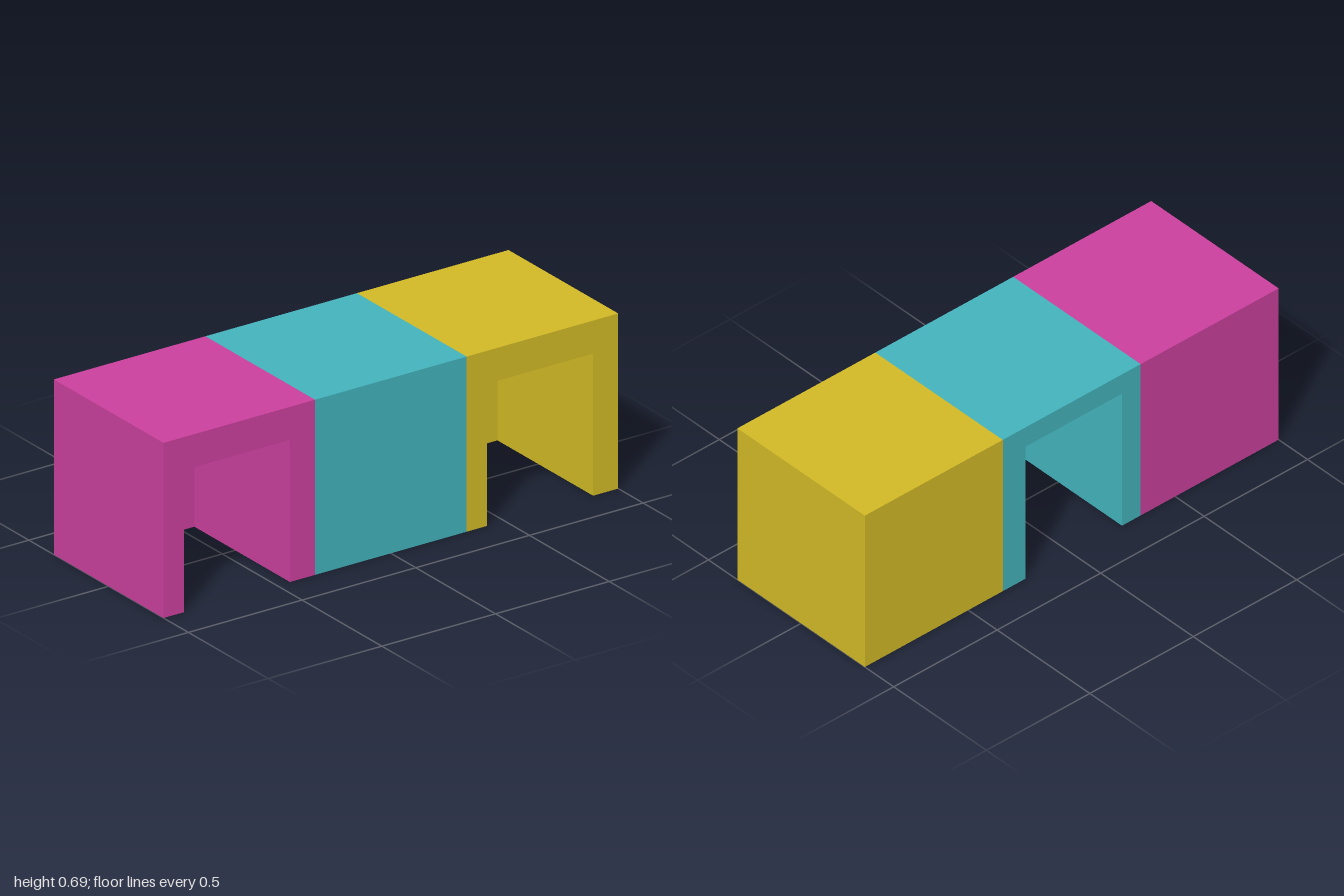
import * as THREE from 'three';

const HALF_W = 0.344, HEIGHT = 0.69, LENGTH = 2 / 3;
const Z_BACK = -0.223, Z_FRONT = 0.243; // cavity ends, relative to the section centre

// One hollow section: an arch open below and on one side, closed by a panel on the other.
// side = +1 opens towards +x, -1 towards -x.
function section(name, color, z, side, ceiling, panel) {
  const group = new THREE.Group();
  group.name = name;
  const material = new THREE.MeshStandardMaterial({ color });
  const depth = 2 * HALF_W - panel;
  const h = LENGTH / 2;

  // Arch outline; shape x becomes -z after the turn
  const outline = new THREE.Shape([
    [-h, 0], [-Z_FRONT, 0], [-Z_FRONT, ceiling], [-Z_BACK, ceiling],
    [-Z_BACK, 0], [h, 0], [h, HEIGHT], [-h, HEIGHT],
  ].map(([x, y]) => new THREE.Vector2(x, y)));
  const archGeometry = new THREE.ExtrudeGeometry(outline, { depth, bevelEnabled: false });
  archGeometry.rotateY(Math.PI / 2);
  const arch = new THREE.Mesh(archGeometry, material);
  arch.name = name + 'Arch';
  arch.position.x = side > 0 ? HALF_W - depth : -HALF_W;

  // Closed side wall
  const wall = new THREE.Mesh(new THREE.BoxGeometry(panel, HEIGHT, LENGTH), material);
  wall.name = name + 'SideWall';
  wall.position.set(-side * (HALF_W - panel / 2), HEIGHT / 2, 0);

  group.add(arch, wall);
  group.position.z = z;
  return group;
}

export function createModel() {
  const model = new THREE.Group();
  model.name = 'threeSectionBench';
  model.add(
    section('frontSection', 0xcc409e, LENGTH, 1, 0.56, 0.088),
    section('middleSection', 0x43b3bc, 0, -1, 0.602, 0.13),
    section('backSection', 0xd2ba26, -LENGTH, 1, 0.56, 0.088),
  );
  return model;
}
